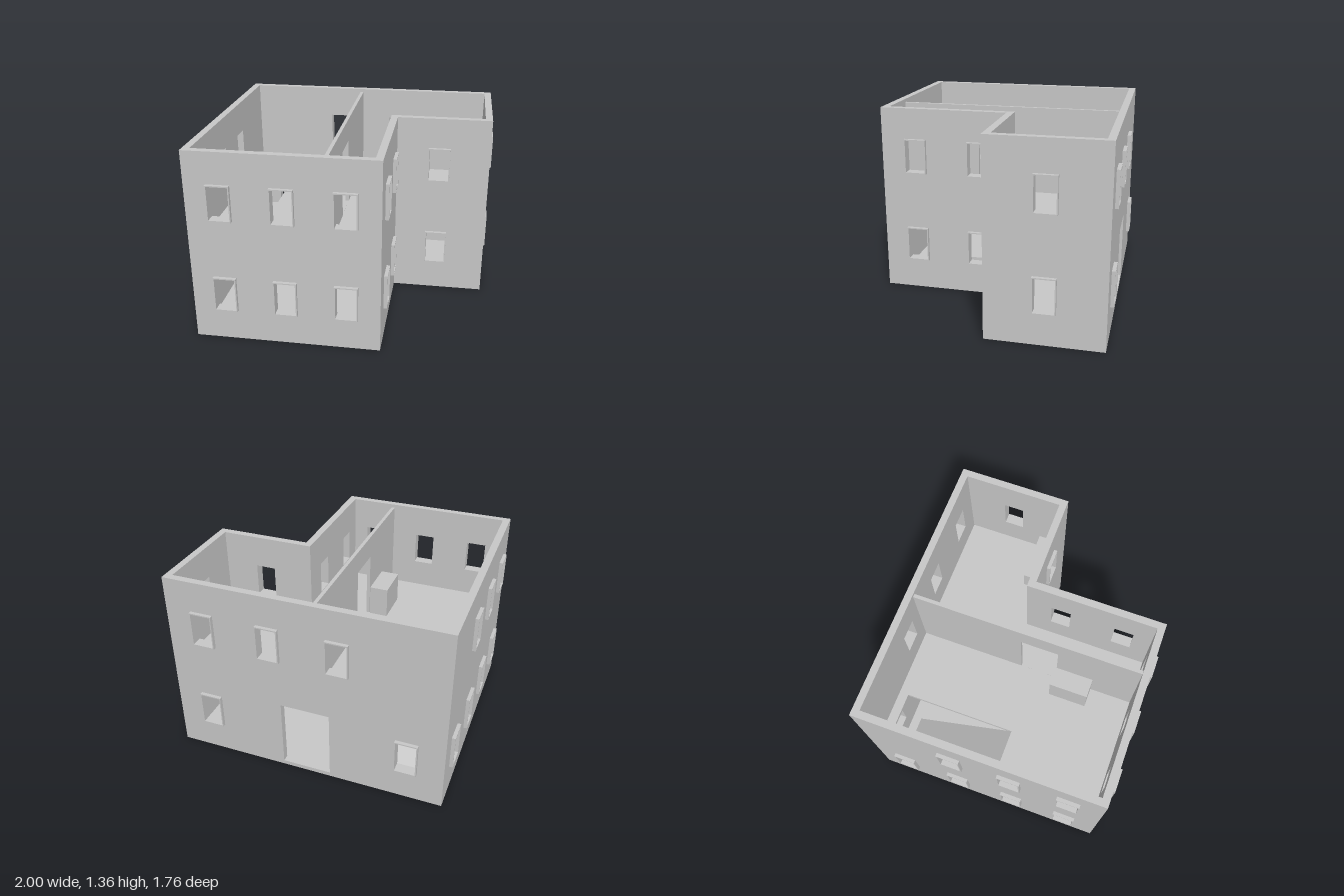
import * as THREE from 'three';

const H = 1.36, T = 0.05, OUT = 0.025;       // wall height, wall thickness, frame projection
const WIN_W = 0.158, WIN_H = 0.25, RIM = 0.008;
const LOW = 0.225, HIGH = 0.89;              // window sill heights
const SLAB = 0.03, FLOOR2 = 0.695;           // floor thickness, top of upper floor

const plaster = new THREE.MeshStandardMaterial({ color: 0xc8c8c8 });
plaster.name = 'plaster grey';

function rect(C, x0, y0, x1, y1) {
  const p = new C();
  p.moveTo(x0, y0);
  p.lineTo(x1, y0);
  p.lineTo(x1, y1);
  p.lineTo(x0, y1);
  p.closePath();
  return p;
}

function extrude(shape, depth, name) {
  const g = new THREE.ExtrudeGeometry(shape, { depth, bevelEnabled: false });
  const m = new THREE.Mesh(g, plaster);
  m.name = name;
  return m;
}

// Wall from u0 to u1 with framed windows [centre, sill] and plain openings [x0, y0, x1, y1]
function wall(name, u0, u1, out, windows, openings = []) {
  const group = new THREE.Group();
  group.name = name;
  const shape = rect(THREE.Shape, u0, 0, u1, H);
  for (const o of openings) shape.holes.push(rect(THREE.Path, ...o));
  for (const [c, y] of windows) {
    const a = c - WIN_W / 2, b = c + WIN_W / 2;
    shape.holes.push(rect(THREE.Path, a, y, b, y + WIN_H));
    const rim = rect(THREE.Shape, a, y, b, y + WIN_H);
    rim.holes.push(rect(THREE.Path, a + RIM, y + RIM, b - RIM, y + WIN_H - RIM));
    const frame = extrude(rim, T + OUT, 'windowFrame');
    frame.position.z = out > 0 ? 0 : -OUT;
    group.add(frame);
  }
  group.add(extrude(shape, T, name + 'Panel'));
  return group;
}

// Turn a part so that its width runs along z and it ends at x
function alongZ(part, x) {
  part.rotation.y = -Math.PI / 2;
  part.position.x = x;
  return part;
}

function alongX(part, z) {
  part.position.z = z;
  return part;
}

const both = (...centres) => centres.flatMap(c => [[c, LOW], [c, HIGH]]);

// L-shaped floor slab, top at the given height
function floor(name, top, hole) {
  const s = new THREE.Shape([
    [-0.925, -0.807], [0.925, -0.807], [0.925, -0.11],
    [0.255, -0.11], [0.255, 0.807], [-0.925, 0.807],
  ].map(p => new THREE.Vector2(...p)));
  if (hole) s.holes.push(hole);
  const m = extrude(s, SLAB, name);
  m.rotation.x = Math.PI / 2;
  m.position.y = top;
  return m;
}

function block(name, x0, x1, y0, y1, z0, z1) {
  const m = new THREE.Mesh(new THREE.BoxGeometry(x1 - x0, y1 - y0, z1 - z0), plaster);
  m.position.set((x0 + x1) / 2, (y0 + y1) / 2, (z0 + z1) / 2);
  m.name = name;
  return m;
}

export function createModel() {
  const house = new THREE.Group();
  house.name = 'house';

  // Outer walls
  house.add(
    alongX(wall('frontWall', -0.975, 0.305, 1, both(-0.745, -0.333, 0.077)), 0.807),
    alongX(wall('wingFrontWall', 0.255, 0.975, 1, both(0.613)), -0.11),
    alongX(wall('backWall', -0.975, 0.975, -1,
      [[0.71, LOW], [-0.715, LOW], [0.71, HIGH], [0.24, HIGH], [-0.24, HIGH]],
      [[-0.175, SLAB, 0.175, 0.53]]), -0.857),
    alongZ(wall('rightWall', -0.807, 0.807, 1,
      [[-0.63, LOW], ...both(-0.21, 0.21, 0.62)]), -0.925),
    alongZ(wall('wingSideWall', -0.807, -0.11, -1, both(-0.458)), 0.975),
    alongZ(wall('leftWall', -0.06, 0.807, -1, both(0.145, 0.605)), 0.305),
  );

  // Floors, the upper one open above the stair ramp
  house.add(
    floor('groundFloor', SLAB),
    floor('upperFloor', FLOOR2, rect(THREE.Path, -0.922, -0.74, -0.573, 0.07)),
  );

  // Upper partition with a doorway
  const panel = rect(THREE.Shape, -0.807, FLOOR2, 0.807, 1.335);
  panel.holes.push(rect(THREE.Path, -0.035, FLOOR2 + 0.001, 0.235, 1.175));
  house.add(alongZ(extrude(panel, 0.025, 'partition'), -0.05));

  // Sloping stair ramp
  const slope = new THREE.Shape([
    [-0.74, SLAB], [-0.69, SLAB], [0.07, 0.655], [0.07, FLOOR2],
  ].map(p => new THREE.Vector2(...p)));
  house.add(alongZ(extrude(slope, 0.325, 'stairRamp'), -0.574));

  // Plain furniture blocks
  house.add(
    block('upperCabinet', -0.215, -0.08, FLOOR2, 0.92, 0.23, 0.505),
    block('lowerCabinet', 0.12, 0.255, SLAB, 0.255, 0.01, 0.285),
    block('upperBench', 0.565, 0.925, FLOOR2, 0.845, -0.25, -0.11),
  );

  return house;
}
